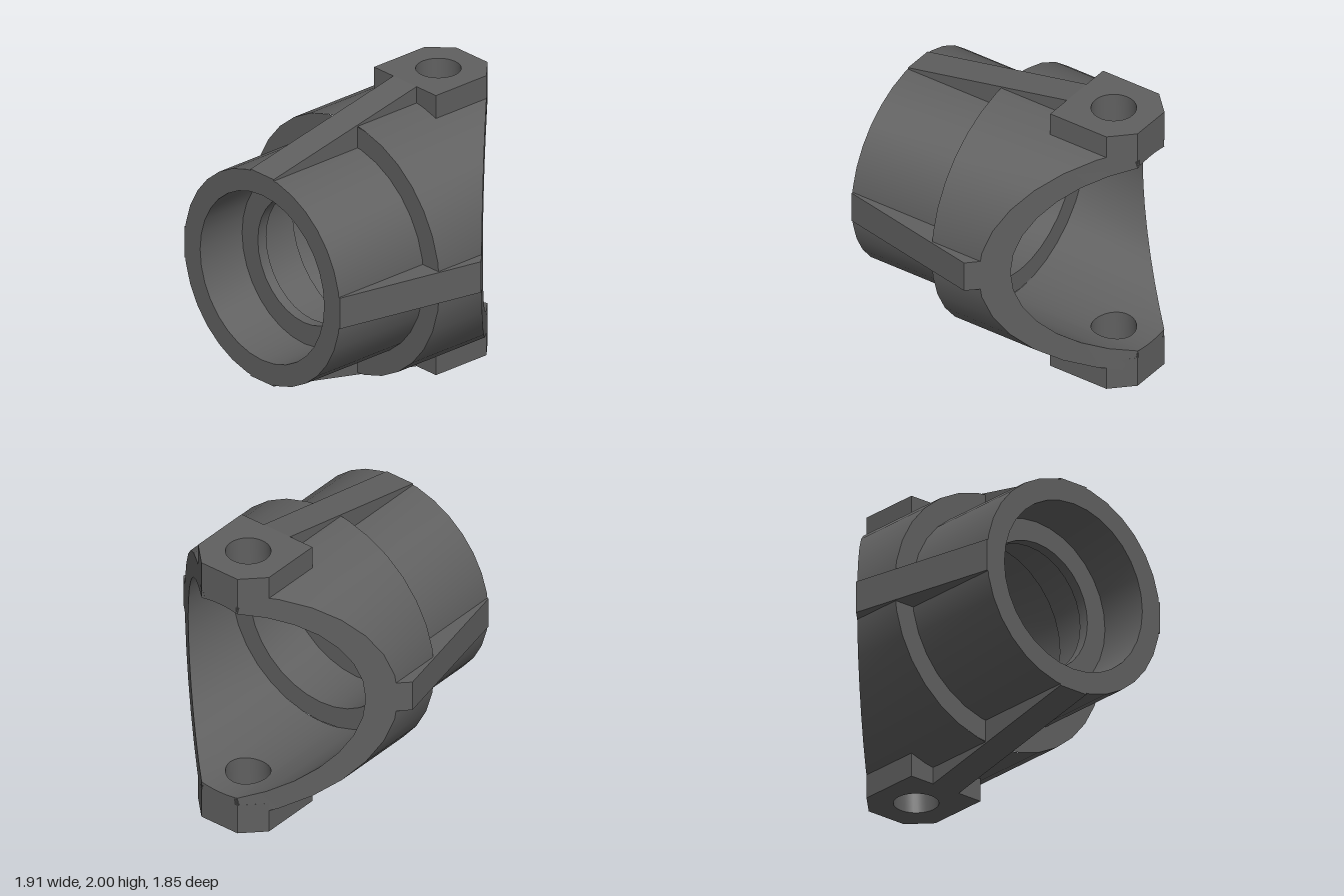
import * as THREE from 'three';
import { toCreasedNormals } from 'three/addons/utils/BufferGeometryUtils.js';

const OUTER = 0.89, BORE = 0.74, HOLE = 0.148, HOLE_Z = -0.63;

// rear end of the body: flat in the middle, cut back at 45 degrees on both sides
const rearZ = x => Math.max(-0.925, Math.abs(x) - 1.075);

// stepped tube with a thin inner lip, turned around the z axis
function housingGeometry() {
  const profile = [
    [0.89, 0.185], [0.74, 0.185], [0.74, 0.925], [0.59, 0.925], [0.59, 0.555],
    [0.44, 0.555], [0.44, 0.481], [0.59, 0.481], [0.59, 0.11], [0.74, 0.11],
  ].map(p => new THREE.Vector2(...p));
  const geo = new THREE.LatheGeometry(profile, 32);
  geo.rotateX(Math.PI / 2);
  return toCreasedNormals(geo, 0.6);
}

// rear shell: inner and outer walls and the rim, in strips along z
function shellGeometry() {
  let angles = [];
  for (let i = 0; i < 32; i++) angles.push(i * Math.PI / 16);
  for (let i = 0; i <= 16; i++) {
    const a = Math.asin(HOLE * Math.cos(i * Math.PI / 16) / BORE);
    angles.push((a + 2 * Math.PI) % (2 * Math.PI), Math.PI + a);
  }
  angles.sort((a, b) => a - b);
  angles = angles.filter((a, i) => i === 0 || a - angles[i - 1] > 1e-4);

  const pos = [];
  const quad = (a, b, c, d) => pos.push(...a, ...b, ...c, ...a, ...c, ...d);
  const point = (r, t, z) => [r * Math.sin(t), r * Math.cos(t), z];
  // z levels of one column: rear edge, hole start, hole end, front edge
  const levels = (r, t, front) => {
    const rear = rearZ(r * Math.sin(t));
    const x = BORE * Math.sin(t);
    const h = Math.sqrt(Math.max(0, HOLE * HOLE - x * x));
    return [rear, Math.max(rear, HOLE_Z - h), Math.max(rear, HOLE_Z + h), front];
  };

  angles.forEach((t0, i) => {
    const t1 = i + 1 < angles.length ? angles[i + 1] : 2 * Math.PI;
    for (const [r, front] of [[BORE, 0.11], [OUTER, 0.185]]) {
      const l0 = levels(r, t0, front), l1 = levels(r, t1, front);
      for (const k of [0, 2]) {
        if (l0[k + 1] - l0[k] + l1[k + 1] - l1[k] < 1e-4) continue;
        const a = point(r, t0, l0[k]), b = point(r, t1, l1[k]);
        const c = point(r, t1, l1[k + 1]), d = point(r, t0, l0[k + 1]);
        if (r === BORE) quad(a, b, c, d);
        else quad(a, d, c, b);
      }
    }
    const edge = (r, t) => point(r, t, rearZ(r * Math.sin(t)));
    quad(edge(BORE, t0), edge(OUTER, t0), edge(OUTER, t1), edge(BORE, t1));
  });
  const geo = new THREE.BufferGeometry();
  geo.setAttribute('position', new THREE.Float32BufferAttribute(pos, 3));
  return toCreasedNormals(geo, 0.6);
}

// drilled lug with chamfered rear corners; its hole runs down to the bore
function lugGeometry() {
  const shape = new THREE.Shape([
    [-0.295, 0.335], [0.295, 0.335], [0.295, 0.78],
    [0.15, 0.925], [-0.15, 0.925], [-0.295, 0.78],
  ].map(p => new THREE.Vector2(...p)));
  const hole = new THREE.Path();
  hole.absarc(0, -HOLE_Z, HOLE, 0, Math.PI * 2, true);
  shape.holes.push(hole);
  const geo = new THREE.ExtrudeGeometry(shape, { depth: 1, bevelEnabled: false, curveSegments: 16 });
  geo.rotateX(-Math.PI / 2);
  const p = geo.attributes.position;
  for (let i = 0; i < p.count; i++) {
    if (p.getY(i) > 0.5) continue;
    const x = p.getX(i);
    const onHole = Math.hypot(x, p.getZ(i) - HOLE_Z) < 0.16;
    p.setY(i, onHole ? Math.sqrt(BORE * BORE - x * x) : 0.78);
  }
  return toCreasedNormals(geo, 0.6);
}

// tapered rib drawn as (radius, z) and given its thickness
function ribGeometry(tip) {
  const shape = new THREE.Shape(
    [[0.66, 0.25], [0.8, 0.1], ...tip, [0.74, 0.925], [0.66, 0.925]]
      .map(p => new THREE.Vector2(...p)));
  const geo = new THREE.ExtrudeGeometry(shape, { depth: 0.22, bevelEnabled: false });
  geo.translate(0, 0, -0.11);
  geo.rotateX(Math.PI / 2);
  return geo;
}

export function createModel() {
  const metal = new THREE.MeshStandardMaterial({ color: 0x606060 });
  metal.name = 'dark grey metal';
  const model = new THREE.Group();
  model.name = 'bearingHousing';
  const body = new THREE.Group();
  body.name = 'body';
  body.position.y = 1;
  model.add(body);

  const add = (name, geo, angle = 0) => {
    const mesh = new THREE.Mesh(geo, metal);
    mesh.name = name;
    mesh.rotation.z = angle;
    body.add(mesh);
  };

  add('steppedTube', housingGeometry());
  add('rearShell', shellGeometry());

  const lug = lugGeometry();
  add('topLug', lug);
  add('bottomLug', lug, Math.PI);

  const longRib = ribGeometry([[0.8, -0.335], [1, -0.335]]);
  add('topRib', longRib, Math.PI / 2);
  add('bottomRib', longRib, -Math.PI / 2);

  const sideRib = ribGeometry([[0.8, -0.275], [0.955, -0.12]]);
  add('leftRib', sideRib);
  add('rightRib', sideRib, Math.PI);

  return model;
}
